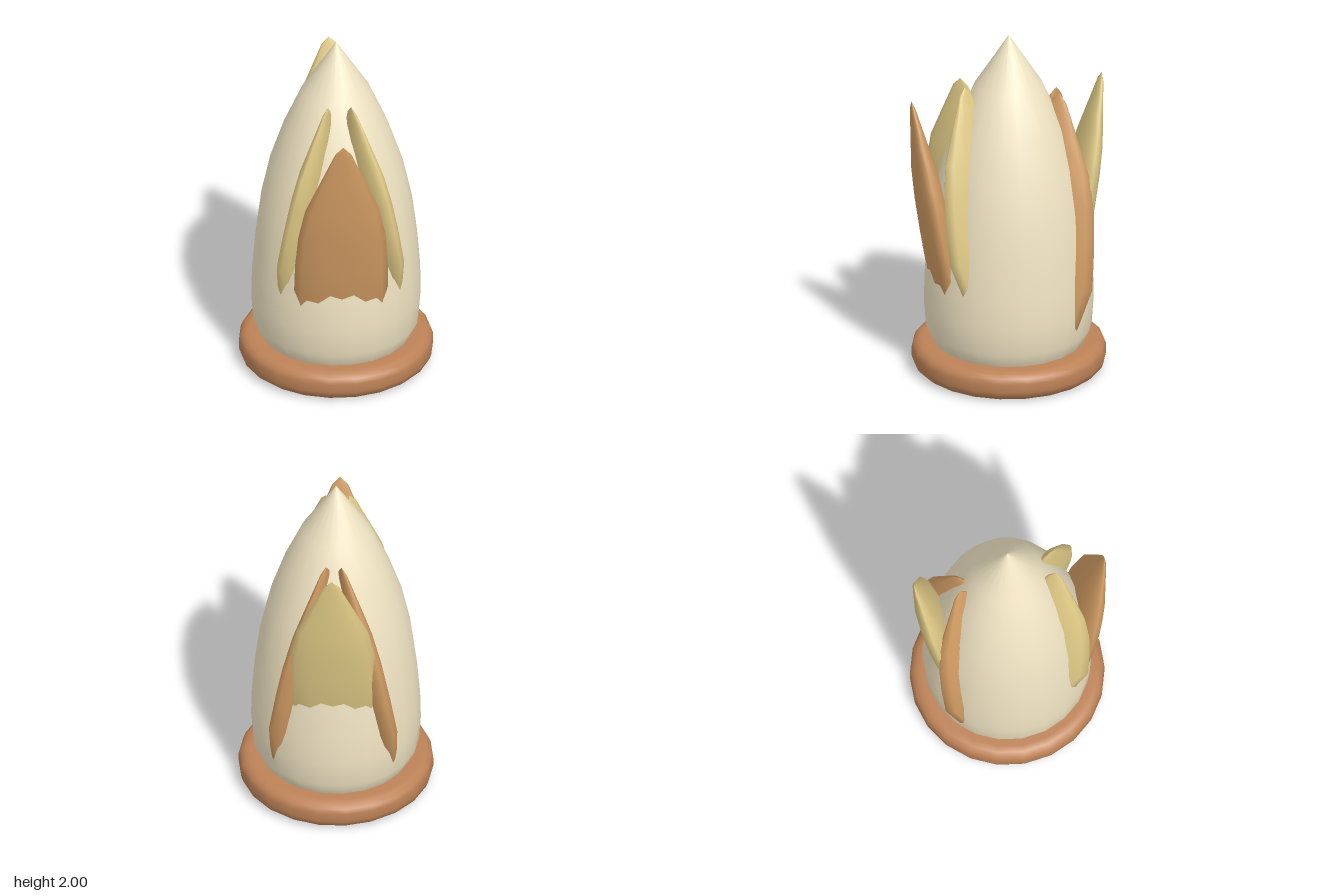
import * as THREE from 'three';

const SIDES = 22;
const CENTRE_Z = -0.013;

const mat = (color) => new THREE.MeshStandardMaterial({ color });
const points = (list) => list.map(([r, y]) => new THREE.Vector2(r, y));

function addMesh(parent, name, geometry, material) {
  const mesh = new THREE.Mesh(geometry, material);
  mesh.name = name;
  parent.add(mesh);
  return mesh;
}

// Leaf outline: half width against share of the length
const LEAF = [
  [0.001, 0], [0.13, 0.03], [0.19, 0.09], [0.262, 0.25], [0.258, 0.42],
  [0.243, 0.56], [0.207, 0.69], [0.125, 0.83], [0.045, 0.965], [0, 1],
];

// A flattened spindle that leans along its own +z
function leafGeometry(width, length, lean) {
  const tilt = Math.atan(lean / length);
  const profile = points(LEAF.map(([r, t]) => [r * width, t * Math.hypot(length, lean)]));
  const geometry = new THREE.LatheGeometry(profile, 12);
  geometry.scale(1, 1, 0.33);
  geometry.rotateX(tilt);
  return geometry;
}

export function createModel() {
  const model = new THREE.Group();
  model.name = 'bud';
  const baseMat = mat(0xbd8257);
  const coreMat = mat(0xf0e4c3);

  // Rounded base disc, closed underneath
  const base = new THREE.Group();
  base.name = 'base';
  base.position.z = CENTRE_Z;
  model.add(base);
  const rim = points([
    [0.47, 0], [0.505, 0.008], [0.53, 0.03], [0.54, 0.06], [0.54, 0.11],
    [0.53, 0.138], [0.505, 0.158], [0.47, 0.166], [0.3, 0.166],
  ]);
  addMesh(base, 'baseRim', new THREE.LatheGeometry(rim, SIDES, Math.PI / 2), baseMat);
  const under = new THREE.CircleGeometry(0.47, SIDES);
  under.rotateX(Math.PI / 2);
  addMesh(base, 'baseUnderside', under, baseMat);

  // Pointed core
  const core = points([
    [0.41, 0.15], [0.425, 0.175], [0.46, 0.25], [0.471, 0.4], [0.467, 0.57],
    [0.45, 0.78], [0.422, 1.0], [0.372, 1.23], [0.295, 1.46], [0.19, 1.7], [0, 2],
  ]);
  addMesh(model, 'core', new THREE.LatheGeometry(core, SIDES, Math.PI / 2), coreMat)
    .position.z = CENTRE_Z;

  // Two whorls of three leaves, turned against their place on the circle
  const whorls = [
    { name: 'lowerLeaf', color: 0xcf9a62, start: 0, y: 0.2, r: 0.3, width: 1, length: 1.44, lean: 0.25 },
    { name: 'upperLeaf', color: 0xe0ca86, start: Math.PI / 3, y: 0.45, r: 0.3, width: 0.95, length: 1.28, lean: 0.225 },
  ];
  for (const w of whorls) {
    const geometry = leafGeometry(w.width, w.length, w.lean);
    const material = mat(w.color);
    for (let i = 0; i < 3; i++) {
      const a = w.start + (i * Math.PI * 2) / 3;
      const leaf = addMesh(model, `${w.name}${i + 1}`, geometry, material);
      leaf.position.set(w.r * Math.sin(a), w.y, w.r * Math.cos(a) + CENTRE_Z);
      leaf.rotation.y = -a;
    }
  }
  return model;
}
